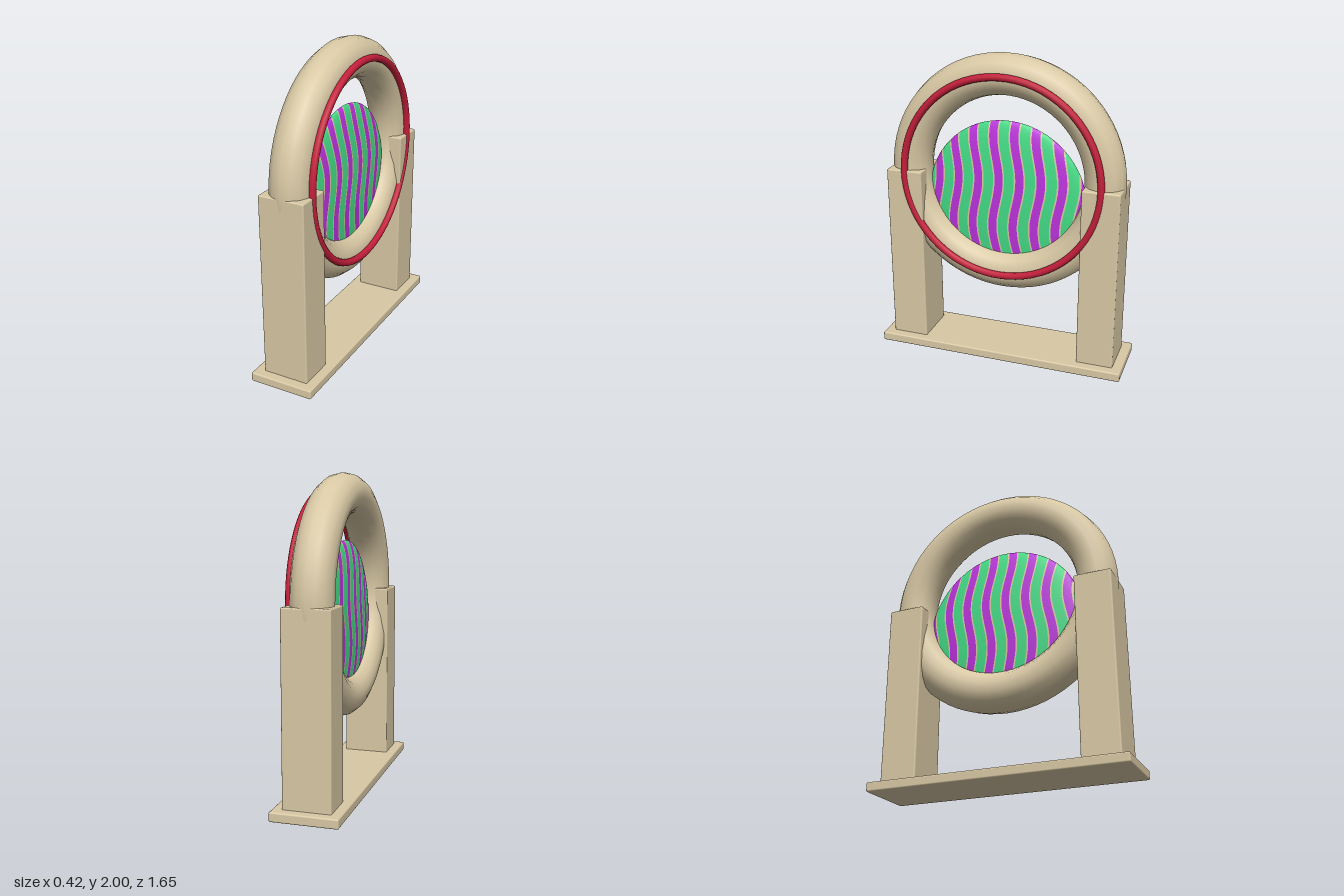
import * as THREE from 'three';
import { RoundedBoxGeometry } from 'three/addons/geometries/RoundedBoxGeometry.js';

const material = (name, color, side = THREE.FrontSide) =>
  Object.assign(new THREE.MeshStandardMaterial({ color, side }), { name });

// Lens: a flattened ellipsoid centred at height LENS_Y
const LENS_Y = 1.05, LENS_R = 0.53, LENS_X = 0.062;
const wave = (y) => -0.022 * Math.cos((2 * Math.PI * (y - 1.2)) / 0.62);

// One wavy stripe of the lens surface between z0 and z1, on both sides
function stripeGeometry(bands) {
  const rows = 48, cols = 4, position = [], normal = [], index = [];
  for (const [z0, z1] of bands) for (const side of [1, -1]) {
    const start = position.length / 3;
    for (let i = 0; i <= rows; i++) {
      const angle = (i / rows) * Math.PI;
      const dy = LENS_R * Math.cos(angle), limit = LENS_R * Math.sin(angle);
      const offset = wave(LENS_Y + dy);
      const a = THREE.MathUtils.clamp(z0 + offset, -limit, limit);
      const b = THREE.MathUtils.clamp(z1 + offset, -limit, limit);
      for (let j = 0; j <= cols; j++) {
        const z = a + ((b - a) * j) / cols;
        const h = Math.sqrt(Math.max(0, 1 - (dy * dy + z * z) / (LENS_R * LENS_R)));
        const n = new THREE.Vector3((side * h) / LENS_X, dy / LENS_R ** 2, z / LENS_R ** 2).normalize();
        position.push(side * LENS_X * h, LENS_Y + dy, z);
        normal.push(n.x, n.y, n.z);
        if (i === rows || j === cols) continue;
        const p = start + i * (cols + 1) + j, q = p + cols + 1;
        if (side > 0) index.push(p, p + 1, q, p + 1, q + 1, q);
        else index.push(p, q, p + 1, p + 1, q, q + 1);
      }
    }
  }
  const geometry = new THREE.BufferGeometry();
  geometry.setAttribute('position', new THREE.Float32BufferAttribute(position, 3));
  geometry.setAttribute('normal', new THREE.Float32BufferAttribute(normal, 3));
  geometry.setIndex(index);
  return geometry;
}

export function createModel() {
  const model = new THREE.Group();
  model.name = 'ringStand';
  const sand = material('sand', 0xd8c8a4);
  const red = material('red', 0xc41e3a);
  const purple = material('purple', 0xbb33dc);
  const green = material('green', 0x43dc86);

  const add = (name, geometry, mat, x, y, z) => {
    const mesh = new THREE.Mesh(geometry, mat);
    mesh.name = name;
    mesh.position.set(x, y, z);
    model.add(mesh);
    return mesh;
  };

  // Base and the two posts
  add('base', new RoundedBoxGeometry(0.42, 0.06, 1.65, 2, 0.01), sand, 0, 0.03, 0);
  for (const [name, s] of [['frontPost', 1], ['backPost', -1]]) {
    add(name, new RoundedBoxGeometry(0.3, 1.19, 0.24, 2, 0.01), sand, 0, 0.635, s * 0.645);
  }

  // Large ring and the thin trim ring on its side
  add('ring', new THREE.TorusGeometry(0.64, 0.13, 14, 72).rotateY(Math.PI / 2), sand, 0, 1.23, 0);
  add('trimRing', new THREE.TorusGeometry(0.643, 0.023, 10, 72).rotateY(Math.PI / 2), red, 0.138, 1.232, 0);

  // Striped lens: purple and green bands with thin sand lines between
  const pitch = 0.1375, purples = [], greens = [], lines = [];
  for (let k = -5; k <= 4; k++) {
    const z = 0.053 + k * pitch;
    purples.push([z - 0.027, z + 0.027]);
    lines.push([z + 0.027, z + 0.037], [z + pitch - 0.037, z + pitch - 0.027]);
    greens.push([z + 0.037, z + pitch - 0.037]);
  }
  add('purpleStripes', stripeGeometry(purples), purple, 0, 0, 0);
  add('greenStripes', stripeGeometry(greens), green, 0, 0, 0);
  add('stripeLines', stripeGeometry(lines), sand, 0, 0, 0);
  return model;
}
